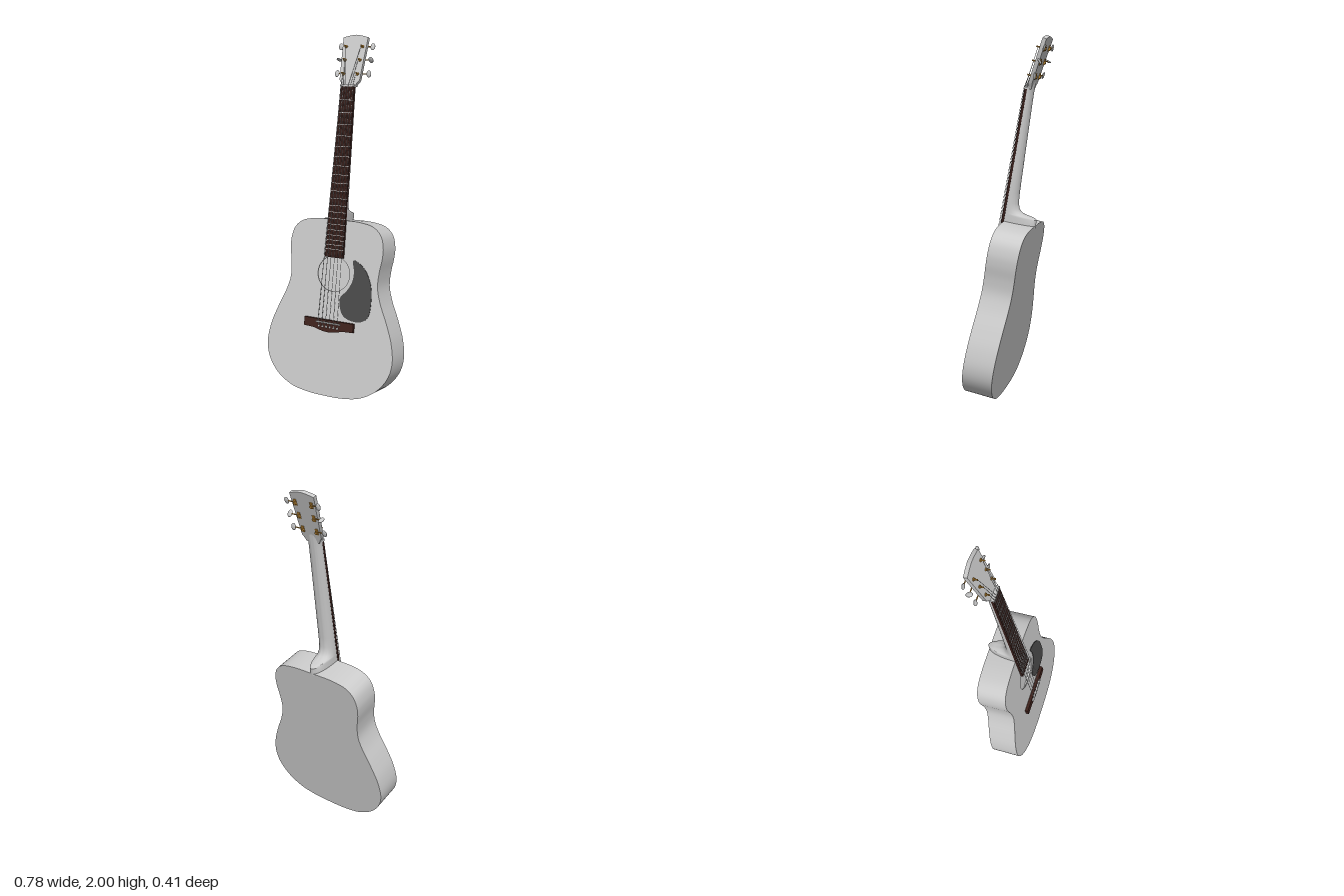
import * as THREE from 'three';
import { toCreasedNormals } from 'three/addons/utils/BufferGeometryUtils.js';

const mat = (color, side = THREE.FrontSide) => new THREE.MeshStandardMaterial({ color, side });
const V2 = (p) => new THREE.Vector2(p[0], p[1]);
const V3 = (x, y, z) => new THREE.Vector3(x, y, z);

function add(parent, name, geometry, material, x = 0, y = 0, z = 0) {
  const mesh = new THREE.Mesh(geometry, material);
  mesh.name = name;
  mesh.position.set(x, y, z);
  parent.add(mesh);
  return mesh;
}

// Flat plate from a shape, spanning z0 to z0 + depth, smooth around its curved rim
function plate(shape, z0, depth) {
  const g = new THREE.ExtrudeGeometry(shape, { depth, bevelEnabled: false, curveSegments: 40 });
  g.translate(0, 0, z0);
  return toCreasedNormals(g, 0.6);
}

// Closed smooth outline through points
const closedCurve = (pts, n) =>
  new THREE.CatmullRomCurve3(pts.map(([x, y]) => V3(x, y, 0)), true).getPoints(n).slice(0, -1).map((p) => new THREE.Vector2(p.x, p.y));

// Neck and heel: half-ellipse sections [y, half width, depth]
function neckGeometry(sections) {
  const pos = [], idx = [], n = 20;
  sections.forEach(([y, hw, d], i) => {
    const z0 = -Math.max(0, y - 1.72) * 0.16;
    for (let j = 0; j <= n; j++) {
      const a = (j / n) * Math.PI;
      pos.push(Math.cos(a) * hw, y, z0 - Math.sin(a) * d);
      if (i && j < n) {
        const p = (i - 1) * (n + 1) + j, q = p + n + 1;
        idx.push(p, p + 1, q, p + 1, q + 1, q);
      }
    }
  });
  const g = new THREE.BufferGeometry();
  g.setAttribute('position', new THREE.Float32BufferAttribute(pos, 3));
  g.setIndex(idx);
  return toCreasedNormals(g, 0.7);
}

export function createModel() {
  const model = new THREE.Group();
  model.name = 'acousticGuitar';
  const guitar = new THREE.Group();
  guitar.name = 'leaningGuitar';
  guitar.position.set(0, 0.03, 0.204);
  guitar.rotation.x = THREE.MathUtils.degToRad(-10);
  model.add(guitar);

  const grey = mat(0xcccccc), greyBoth = mat(0xcccccc, THREE.DoubleSide);
  const fretWood = mat(0x331c18), bridgeWood = mat(0x3f221c);
  const dark = mat(0x4a4a4a), gold = mat(0xc08a35);

  // Hollow body
  const half = [[0.12, 0.005], [0.22, 0.027], [0.31, 0.082], [0.37, 0.162], [0.39, 0.245], [0.376, 0.35],
    [0.336, 0.46], [0.292, 0.56], [0.27, 0.64], [0.272, 0.72], [0.284, 0.8], [0.284, 0.86], [0.265, 0.922],
    [0.22, 0.963], [0.14, 0.982]];
  const outline = closedCurve([[0, 0], ...half, [0, 0.985], ...half.slice().reverse().map(([x, y]) => [-x, y])], 160);
  const front = new THREE.Shape(outline);
  front.holes.push(new THREE.Path().absarc(0, 0.685, 0.098, 0, Math.PI * 2, true));
  add(guitar, 'soundboard', plate(front, -0.006, 0.006), grey);
  const rim = new THREE.Shape(outline);
  rim.holes.push(new THREE.Path(outline.map((p) => new THREE.Vector2(p.x * 0.985, 0.49 + (p.y - 0.49) * 0.985))));
  add(guitar, 'bodySides', plate(rim, -0.162, 0.156), greyBoth);
  add(guitar, 'bodyBack', plate(new THREE.Shape(outline), -0.168, 0.006), grey);

  // Pickguard beside the sound hole
  const guard = closedCurve([[0.115, 0.772], [0.155, 0.758], [0.195, 0.722], [0.23, 0.65], [0.24, 0.56], [0.228, 0.475],
    [0.19, 0.443], [0.13, 0.44], [0.08, 0.46], [0.054, 0.51], [0.053, 0.56], [0.088, 0.6], [0.118, 0.655], [0.124, 0.71]], 90);
  add(guitar, 'pickguard', plate(new THREE.Shape(guard), 0, 0.003), dark);

  // Bridge, saddle and pins
  const bridge = new THREE.Shape([[-0.152, 0.379], [-0.085, 0.376]].map(V2));
  bridge.quadraticCurveTo(-0.04, 0.36, 0, 0.36);
  bridge.quadraticCurveTo(0.04, 0.36, 0.085, 0.376);
  bridge.lineTo(0.152, 0.379);
  bridge.lineTo(0.152, 0.427);
  bridge.lineTo(-0.152, 0.427);
  add(guitar, 'bridge', plate(bridge, 0, 0.018), bridgeWood);
  add(guitar, 'saddle', new THREE.BoxGeometry(0.15, 0.007, 0.014), grey, 0, 0.412, 0.022);

  // Neck with heel, fretboard, nut and frets
  add(guitar, 'neck', neckGeometry([[0.975, 0.05, 0.172], [1.02, 0.05, 0.17], [1.027, 0.05, 0.158], [1.031, 0.05, 0.13],
    [1.036, 0.05, 0.1], [1.045, 0.05, 0.078], [1.06, 0.05, 0.063], [1.09, 0.049, 0.053], [1.15, 0.049, 0.048],
    [1.4, 0.046, 0.039], [1.68, 0.042, 0.03], [1.72, 0.042, 0.03], [1.775, 0.048, 0.02]]), greyBoth);
  const boardHalf = (y) => 0.056 - ((y - 0.776) / 0.939) * 0.014;
  const board = new THREE.Shape([[-0.056, 0.776], [0.056, 0.776], [0.042, 1.715], [-0.042, 1.715]].map(V2));
  add(guitar, 'fretboard', plate(board, 0, 0.014), fretWood);
  add(guitar, 'nut', new THREE.BoxGeometry(0.084, 0.01, 0.022), grey, 0, 1.72, 0.008);
  for (let i = 1; i <= 20; i++) {
    const y = 1.715 - 1.305 * (1 - 2 ** (-i / 12));
    add(guitar, 'fret', new THREE.BoxGeometry(boardHalf(y) * 2, 0.003, 0.003), grey, 0, y, 0.0145);
  }

  // Headstock, tilted further back
  const tilt = THREE.MathUtils.degToRad(-9);
  const head = new THREE.Group();
  head.name = 'headstockGroup';
  head.position.y = 1.72;
  head.rotation.x = tilt;
  guitar.add(head);
  const headShape = new THREE.Shape([[-0.042, 0], [0.042, 0], [0.046, 0.014], [0.061, 0.034], [0.075, 0.275]].map(V2));
  headShape.quadraticCurveTo(0.035, 0.287, 0, 0.29);
  headShape.quadraticCurveTo(-0.035, 0.287, -0.075, 0.275);
  headShape.lineTo(-0.061, 0.034);
  headShape.lineTo(-0.046, 0.014);
  add(head, 'headstock', plate(headShape, -0.022, 0.022), grey);

  // Tuners: post, collar, gear housing, shaft and button on each side
  const posts = [[0.043, 0.068], [0.046, 0.147], [0.05, 0.222]];
  const turns = { '-1': [0, 1.45, 0.15], 1: [0.3, 0.9, 0] };
  for (const s of [-1, 1]) posts.forEach(([x, v], i) => {
    const tuner = new THREE.Group();
    tuner.name = s > 0 ? 'leftTuner' : 'rightTuner';
    tuner.position.set(s * x, v, 0);
    head.add(tuner);
    add(tuner, 'post', new THREE.CylinderGeometry(0.004, 0.004, 0.05, 12), gold, 0, 0, -0.003).rotation.x = Math.PI / 2;
    add(tuner, 'collar', new THREE.CylinderGeometry(0.008, 0.009, 0.005, 16), gold, 0, 0, 0.002).rotation.x = Math.PI / 2;
    add(tuner, 'gearPlate', new THREE.BoxGeometry(0.016, 0.034, 0.004), gold, 0, 0.004, -0.024);
    add(tuner, 'gear', new THREE.CylinderGeometry(0.008, 0.008, 0.007, 14), gold, 0, 0, -0.029).rotation.x = Math.PI / 2;
    const reach = 0.094 - x;
    add(tuner, 'shaft', new THREE.CylinderGeometry(0.003, 0.003, reach, 10), gold, s * reach / 2, 0.01, -0.03).rotation.z = Math.PI / 2;
    const button = add(tuner, 'button', new THREE.SphereGeometry(1, 18, 12), grey, s * (0.097 - x), 0.01, -0.03);
    button.scale.set(0.014, 0.019, 0.006);
    button.rotation.x = turns[s][i];
  });

  // Strings from pin over saddle and nut to the posts
  const c = Math.cos(tilt), sn = Math.sin(tilt);
  for (let i = 0; i < 6; i++) {
    const t = i / 2.5 - 1, s = Math.sign(t);
    const [px, v] = posts[i < 3 ? i : 5 - i];
    const w = 0.014;
    const path = new THREE.CurvePath();
    const pts = [V3(t * 0.057, 0.39, 0.018), V3(t * 0.06, 0.412, 0.03), V3(t * 0.035, 1.72, 0.02),
      V3(s * (px - 0.004), 1.72 + v * c - w * sn, v * sn + w * c)];
    for (let k = 0; k < 3; k++) path.add(new THREE.LineCurve3(pts[k], pts[k + 1]));
    path.curves.forEach((line) => add(guitar, 'string', new THREE.TubeGeometry(line, 1, 0.0018 - i * 0.00015, 6), grey));
    add(guitar, 'bridgePin', new THREE.SphereGeometry(0.006, 12, 8), grey, t * 0.057, 0.388, 0.019);
  }
  return model;
}
